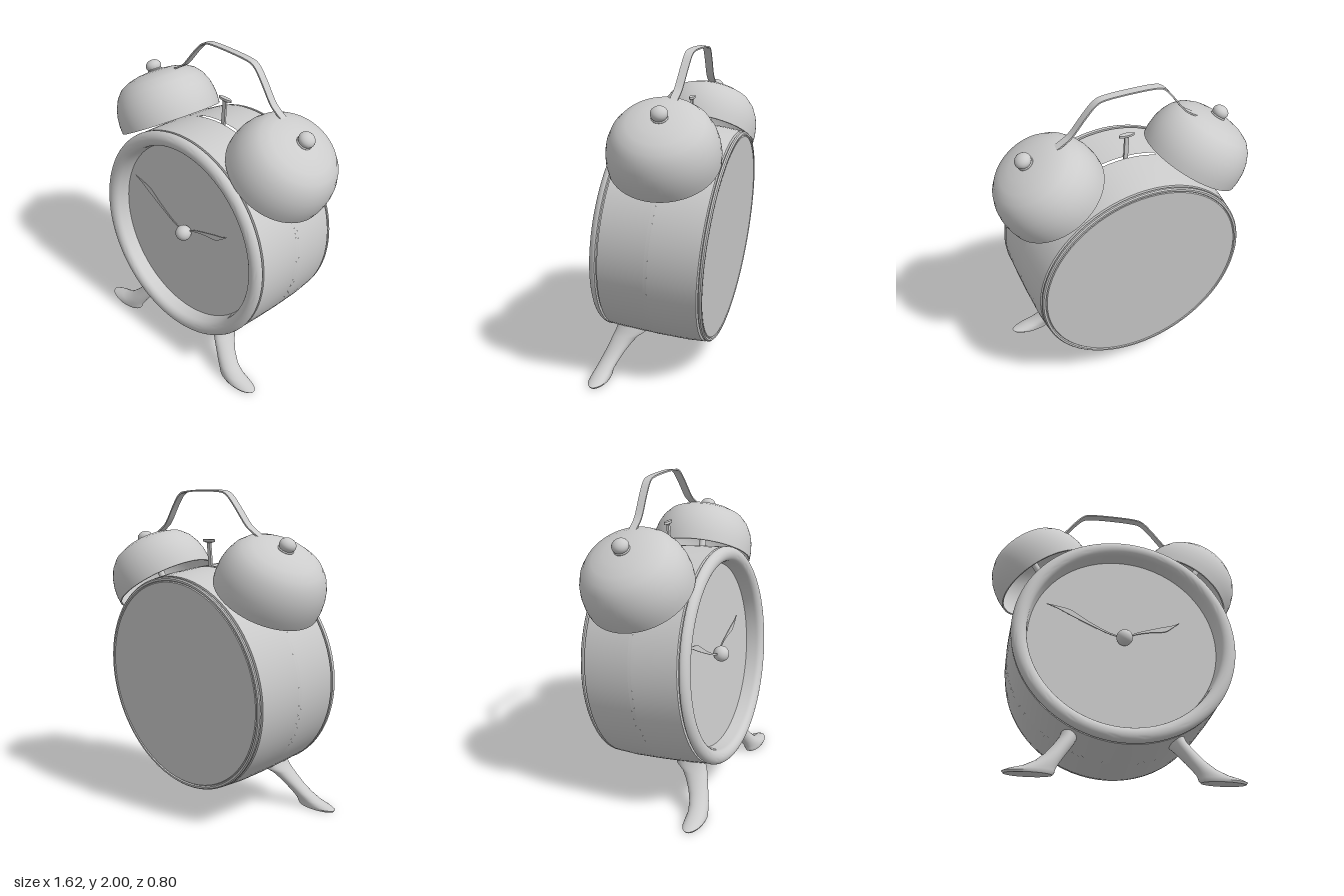
import * as THREE from 'three';
import { toCreasedNormals } from 'three/addons/utils/BufferGeometryUtils.js';

const grey = new THREE.MeshStandardMaterial({ color: 0xcccccc });
const greyThin = new THREE.MeshStandardMaterial({ color: 0xcccccc, side: THREE.DoubleSide });
const v2 = (pts) => pts.map(([x, y]) => new THREE.Vector2(x, y));

function part(name, geometry, parent, material = grey) {
  const mesh = new THREE.Mesh(geometry, material);
  mesh.name = name;
  parent.add(mesh);
  return mesh;
}

// Revolve [radius, height] points; creased so that corners stay sharp
function lathe(pts, segments = 72, start = 0, length = Math.PI * 2) {
  return toCreasedNormals(new THREE.LatheGeometry(v2(pts), segments, start, length), 0.6);
}
// Same, with the axis turned to face the front (+z)
const latheZ = (...args) => lathe(...args).rotateX(Math.PI / 2);

// Leaf-shaped clock hand pointing along +x, with a slight wave
function handGeometry(length, width) {
  const upper = [[0, 0.25], [0.2, 0.3], [0.45, 0.55], [0.7, 1], [0.85, 0.5], [1, 0]];
  const wave = (t) => 0.012 * Math.sin(t * Math.PI * 2);
  const side = (s) => upper.map(([t, w]) => [t * length, wave(t) + s * w * width / 2]);
  const outline = [...side(-1), ...side(1).reverse().slice(1)];
  const shape = new THREE.Shape();
  shape.moveTo(...outline[0]);
  shape.splineThru(v2(outline.slice(1, 6)));
  shape.splineThru(v2(outline.slice(6)));
  return new THREE.ExtrudeGeometry(shape, { depth: 0.006, bevelEnabled: false, curveSegments: 16 });
}

// Thin strap that follows a curve in xy and has its width along z
function strapGeometry(pts, thickness, width) {
  const curve = new THREE.SplineCurve(v2(pts));
  const outer = [], inner = [];
  for (let i = 0; i <= 60; i++) {
    const p = curve.getPoint(i / 60), t = curve.getTangent(i / 60);
    const n = new THREE.Vector2(-t.y, t.x).multiplyScalar(thickness / 2);
    outer.push(p.clone().add(n));
    inner.unshift(p.clone().sub(n));
  }
  const geo = new THREE.ExtrudeGeometry(new THREE.Shape([...outer, ...inner]), { depth: width, bevelEnabled: false });
  return toCreasedNormals(geo.translate(0, 0, -width / 2), 0.6);
}

// Loft of horizontal ellipses, each [y, xMin, xMax, zMin, zMax], from the sole upwards
function legGeometry() {
  const rows = [
    [0, 0.415, 0.68, 0.29, 0.4], [0.012, 0.405, 0.69, 0.285, 0.405], [0.025, 0.402, 0.66, 0.285, 0.402],
    [0.045, 0.395, 0.585, 0.283, 0.395], [0.08, 0.375, 0.515, 0.268, 0.383], [0.13, 0.342, 0.46, 0.24, 0.363],
    [0.18, 0.308, 0.42, 0.205, 0.345], [0.22, 0.283, 0.392, 0.17, 0.332], [0.25, 0.27, 0.375, 0.125, 0.32],
    [0.285, 0.265, 0.36, 0.12, 0.31],
  ];
  const n = 32, pos = [], index = [];
  for (const [y, x0, x1, z0, z1] of rows) {
    for (let j = 0; j < n; j++) {
      const a = j / n * Math.PI * 2;
      pos.push((x0 + x1) / 2 + (x1 - x0) / 2 * Math.cos(a), y, (z0 + z1) / 2 + (z1 - z0) / 2 * Math.sin(a));
    }
  }
  for (let i = 0; i < rows.length - 1; i++) {
    for (let j = 0; j < n; j++) {
      const a = i * n + j, b = i * n + (j + 1) % n;
      index.push(a, a + n, b, b, a + n, b + n);
    }
  }
  const last = (rows.length - 1) * n;
  for (let j = 1; j < n - 1; j++) index.push(0, j, j + 1, last, last + j + 1, last + j);
  const geo = new THREE.BufferGeometry();
  geo.setAttribute('position', new THREE.Float32BufferAttribute(pos, 3));
  geo.setIndex(index);
  return toCreasedNormals(geo, 0.8);
}

function createBell() {
  const bell = new THREE.Group();
  // Dome: inner skin, rim, outer skin
  const outer = [[0.328, 0], [0.331, 0.05], [0.326, 0.11], [0.312, 0.165], [0.285, 0.222],
    [0.245, 0.268], [0.19, 0.297], [0.12, 0.315], [0.06, 0.322], [0, 0.324]];
  const inner = outer.map(([r, y]) => [r * 0.97, y * 0.97]).reverse();
  part('bellDome', lathe([...inner, ...outer]), bell, greyThin);
  part('bellPost', new THREE.CylinderGeometry(0.022, 0.022, 0.4, 20), bell).position.y = 0.12;
  part('bellCollar', lathe([[0, 0.31], [0.046, 0.31], [0.048, 0.325], [0.04, 0.335], [0, 0.335]], 32), bell);
  const knob = part('bellKnob', new THREE.SphereGeometry(0.05, 28, 18), bell);
  knob.scale.y = 0.8;
  knob.position.y = 0.352;
  return bell;
}

export function createModel() {
  const model = new THREE.Group();
  model.name = 'alarmClock';

  // The whole clock leans back on its two front legs
  const clock = new THREE.Group();
  clock.name = 'clock';
  clock.position.y = 0.85;
  clock.rotation.x = -0.09;
  model.add(clock);

  // Drum wall in three bands; the middle one leaves the hammer slot open on top
  const gap = 0.29;
  part('rearCase', latheZ([[0.655, -0.315], [0.672, -0.31], [0.682, -0.2], [0.686, -0.017]]), clock, greyThin);
  part('slottedCase', latheZ([[0.686, -0.017], [0.686, 0.004]], 72, Math.PI + gap, Math.PI * 2 - 2 * gap), clock, greyThin);
  part('frontCase', latheZ([[0.686, 0.004], [0.685, 0.15], [0.681, 0.29], [0.665, 0.293]]), clock, greyThin);

  // Back cover with a shallow groove around it
  part('backCover', latheZ([[0, -0.338], [0.64, -0.338], [0.645, -0.332], [0.65, -0.34], [0.662, -0.34],
    [0.669, -0.333], [0.669, -0.322], [0.655, -0.315]]), clock);

  // Rounded bezel and the recessed dial
  const bezel = [[0.665, 0.293], [0.665, 0.302], [0.681, 0.304]];
  for (let i = 0; i <= 14; i++) {
    const a = i / 14 * Math.PI;
    bezel.push([0.637 + 0.046 * Math.cos(a), 0.308 + 0.042 * Math.sin(a)]);
  }
  bezel.push([0.588, 0.29], [0.582, 0.24]);
  part('bezel', latheZ(bezel, 96), clock);
  part('dial', new THREE.CircleGeometry(0.6, 72), clock).position.z = 0.242;

  // Hands and hub
  for (const [name, x, y, width, z] of [['minuteHand', -0.475, 0.2, 0.034, 0.272], ['hourHand', 0.35, 0.143, 0.034, 0.262]]) {
    const hand = part(name, handGeometry(Math.hypot(x, y), width), clock);
    hand.position.set(0, 0.01, z);
    hand.rotation.z = Math.atan2(y, x);
  }
  part('hub', new THREE.SphereGeometry(0.05, 28, 20), clock).position.set(0, 0.01, 0.285);
  part('hubPin', new THREE.CylinderGeometry(0.025, 0.025, 0.05, 20).rotateX(Math.PI / 2), clock).position.set(0, 0.01, 0.255);

  // Hammer standing in the slot
  const hammer = new THREE.Group();
  hammer.name = 'hammer';
  hammer.position.z = -0.007;
  clock.add(hammer);
  part('hammerStem', new THREE.BoxGeometry(0.026, 0.27, 0.014), hammer).position.y = 0.705;
  const head = part('hammerHead', lathe([[0, 0], [0.02, 0], [0.05, 0.008], [0.05, 0.022], [0, 0.024]], 32), hammer);
  head.position.y = 0.832;
  head.scale.z = 0.3;

  // Strap handle between the bells
  const half = [[0.45, 0.885], [0.4, 0.915], [0.35, 0.955], [0.27, 1.06], [0.21, 1.125], [0.15, 1.145]];
  const path = [...half, [0, 1.15], ...half.map(([x, y]) => [-x, y]).reverse()];
  part('handle', strapGeometry(path, 0.009, 0.048), clock).position.z = -0.018;

  // Bells and legs, one on each side
  for (const [side, s] of [['left', 1], ['right', -1]]) {
    const bell = createBell();
    bell.name = side + 'Bell';
    bell.position.set(s * 0.45, 0.542, 0);
    bell.rotation.z = -s * 0.545;
    clock.add(bell);

    const leg = part(side + 'Leg', legGeometry(), model);
    if (s < 0) leg.scale.x = -1;
  }
  return model;
}
